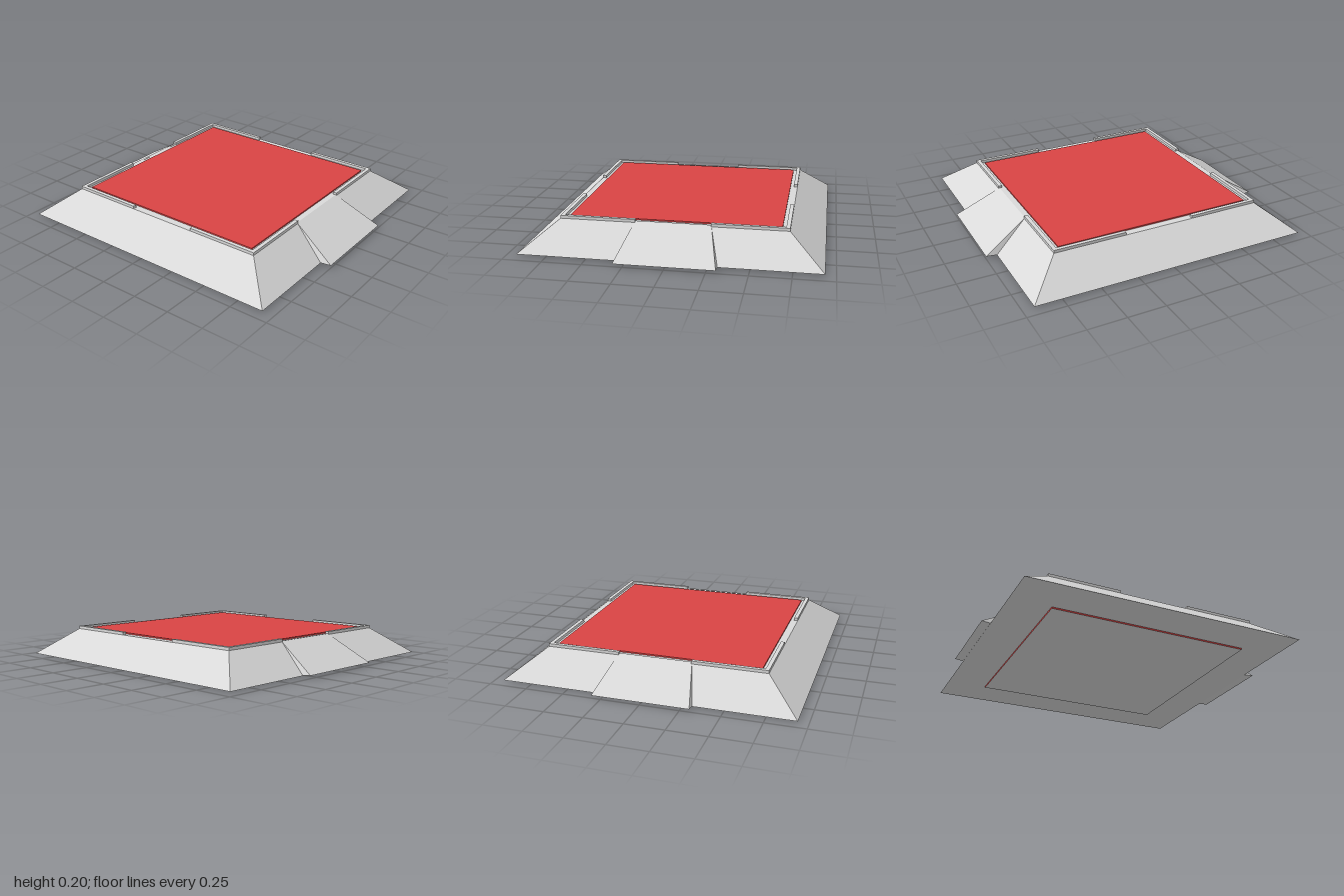
import * as THREE from 'three';
import { ConvexGeometry } from 'three/addons/geometries/ConvexGeometry.js';

export function createModel() {
  const model = new THREE.Group();
  model.name = 'rampedPlatform';
  const grey = new THREE.MeshStandardMaterial({ name: 'lightGrey', color: 0xd9d9d9 });
  const red = new THREE.MeshStandardMaterial({ name: 'red', color: 0xd94444 });

  const CX = -0.008; // the platform sits slightly off the ramp centre
  const FLOOR = 0.183, RIM_TOP = 0.202;
  const OUT = 0.718, WALL = 0.025, GAP = 0.237;

  const add = (name, geometry, material, x = 0, y = 0, z = 0) => {
    const mesh = new THREE.Mesh(geometry, material);
    mesh.name = name;
    mesh.position.set(x, y, z);
    model.add(mesh);
    return mesh;
  };
  const hull = (points) => new ConvexGeometry(points.map((p) => new THREE.Vector3(...p)));
  const square = (half, y) =>
    [[-1, -1], [1, -1], [1, 1], [-1, 1]].map(([x, z]) => [x * half, y, z * half]);

  // Sloped body
  add('slopedBase', hull([...square(0.936, 0.01), ...square(OUT, FLOOR)]), grey, CX);

  // Red floor, and a foot plate with red edges and a grey underside
  add('floorPanel', new THREE.BoxGeometry(1.34, 0.009, 1.34), red, CX, FLOOR + 0.0045);
  add('footPlate', new THREE.BoxGeometry(1.34, 0.01, 1.34),
    [red, red, red, grey, red, red], CX, 0.005);

  // Low rim: two wall pieces on each side, leaving a central opening
  const len = OUT - GAP, mid = (OUT + GAP) / 2;
  const height = RIM_TOP - FLOOR, wallY = FLOOR + height / 2;
  for (const side of [-1, 1]) {
    for (const end of [-1, 1]) {
      add('rimWall', new THREE.BoxGeometry(len, height, WALL), grey,
        CX + end * mid, wallY, side * (OUT - WALL / 2));
      add('rimWall', new THREE.BoxGeometry(WALL, height, len - WALL), grey,
        CX + side * (OUT - WALL / 2), wallY, end * (mid - WALL / 2));
    }
  }

  // Tapered access ramps on the left and right
  for (const side of [-1, 1]) {
    const points = [];
    for (const end of [-1, 1]) {
      points.push(
        [side, 0.018, end * 0.31],
        [side * 0.936 + CX, 0.011, end * 0.31],
        [side * 0.712 + CX, 0.187, end * 0.24],
        [side * 0.695 + CX, 0.187, end * 0.235],
      );
    }
    add(side > 0 ? 'leftRamp' : 'rightRamp', hull(points), grey);
  }
  return model;
}
